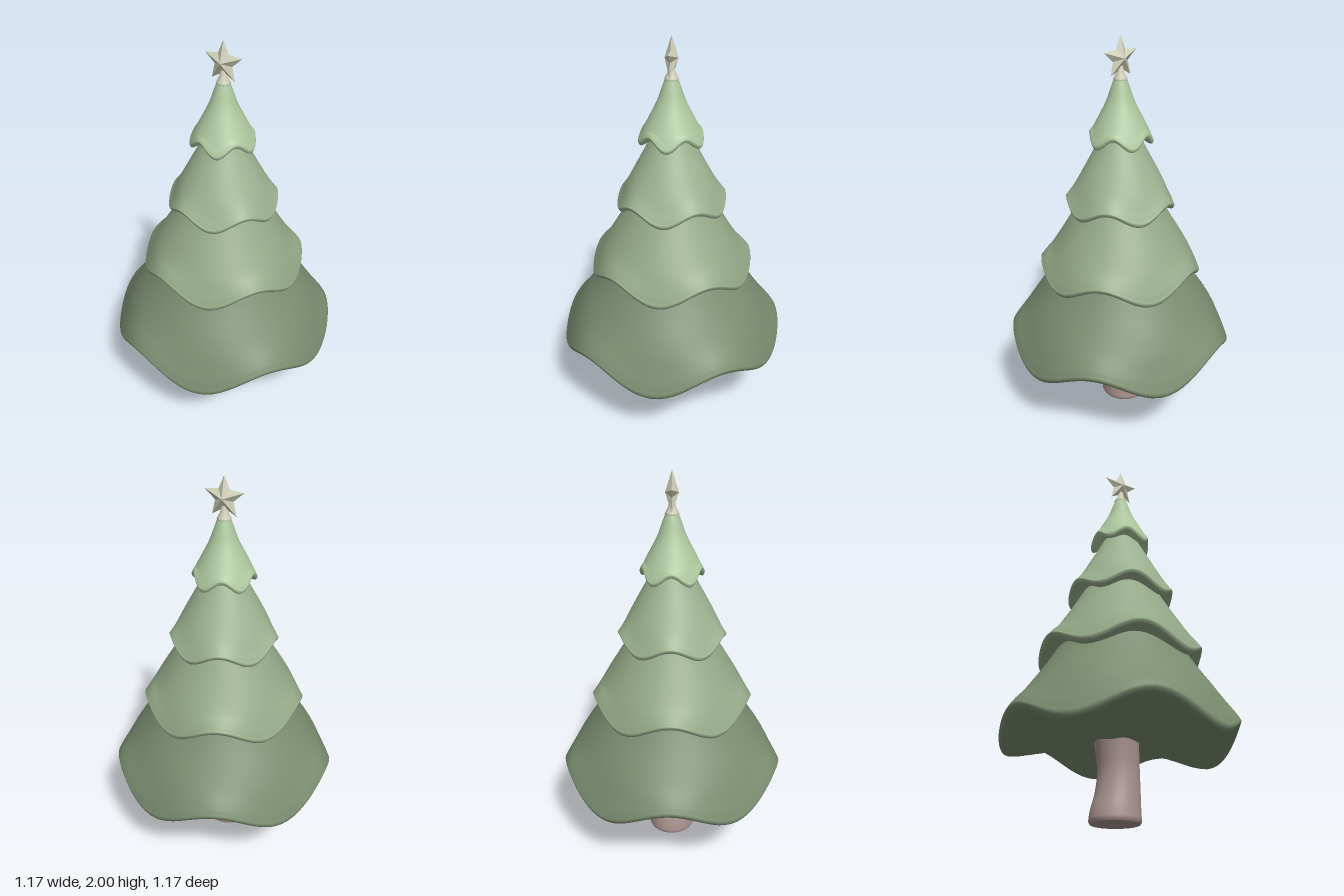
import * as THREE from 'three';
import { mergeVertices } from 'three/addons/utils/BufferGeometryUtils.js';

const mat = (color, extra = {}) => new THREE.MeshStandardMaterial({ color, ...extra });

function add(group, name, geometry, material) {
  const mesh = new THREE.Mesh(geometry, material);
  mesh.name = name;
  group.add(mesh);
  return mesh;
}

// Weld the lathe seam so that the shading is smooth all the way round
function smooth(geometry) {
  geometry.deleteAttribute('uv');
  geometry.deleteAttribute('normal');
  const welded = mergeVertices(geometry, 1e-5);
  welded.computeVertexNormals();
  return welded;
}

// One bough tier: profile [radius, height, wave weight] from top over the hem to the underside.
// The hem rises and falls in five waves; bulge pushes the low lobes outward.
function tierGeometry(profile, wave, bulge = 0) {
  const curve = new THREE.CatmullRomCurve3(
    profile.map(([r, y, w = 0]) => new THREE.Vector3(r, y, w)).reverse());
  const samples = curve.getPoints((profile.length - 1) * 4);
  const geometry = new THREE.LatheGeometry(samples.map(p => new THREE.Vector2(p.x, p.y)), 100);
  const pos = geometry.attributes.position;
  for (let i = 0; i < pos.count; i++) {
    const s = samples[i % samples.length];
    const lobe = s.z * Math.cos(5 * Math.atan2(pos.getZ(i), pos.getX(i)));
    const scale = 1 + bulge * lobe / s.x;
    pos.setXYZ(i, pos.getX(i) * scale, pos.getY(i) - wave * lobe, pos.getZ(i) * scale);
  }
  return smooth(geometry);
}

// Trunk side that leans and swells: rings of [height, radius, x offset]
function trunkGeometry() {
  const rings = [[0.012, 0.125, -0.03], [0.06, 0.12, -0.028], [0.14, 0.109, -0.017],
    [0.24, 0.102, -0.012], [0.33, 0.105, -0.018], [0.41, 0.112, -0.026]];
  const samples = new THREE.CatmullRomCurve3(rings.map(([y, r, x]) => new THREE.Vector3(r, y, x))).getPoints(20);
  samples.unshift(new THREE.Vector3(0.118, 0, -0.03));
  const geometry = new THREE.LatheGeometry(samples.map(p => new THREE.Vector2(p.x, p.y)), 40);
  const pos = geometry.attributes.position;
  for (let i = 0; i < pos.count; i++) pos.setX(i, pos.getX(i) + samples[i % samples.length].z);
  return smooth(geometry);
}

// Faceted five-pointed star with a raised centre on both faces
function starGeometry(outer, inner, depth) {
  const rim = i => {
    const a = Math.PI / 2 + i * Math.PI / 5;
    const r = i % 2 ? inner : outer;
    return [r * Math.cos(a), r * Math.sin(a), 0];
  };
  const v = [];
  for (let i = 0; i < 10; i++) {
    v.push(...rim(i), ...rim(i + 1), 0, 0, depth);
    v.push(...rim(i + 1), ...rim(i), 0, 0, -depth);
  }
  const geometry = new THREE.BufferGeometry();
  geometry.setAttribute('position', new THREE.Float32BufferAttribute(v, 3));
  geometry.computeVertexNormals();
  return geometry;
}

export function createModel() {
  const tree = new THREE.Group();
  tree.name = 'tree';

  // Trunk
  const bark = mat(0xa8928f);
  add(tree, 'trunk', trunkGeometry(), bark);
  const base = add(tree, 'trunkBase', new THREE.CircleGeometry(0.118, 40), bark);
  base.rotation.x = Math.PI / 2;
  base.position.x = -0.03;

  // Bough tiers, lowest first
  const tiers = [
    { name: 'bottomBoughs', color: 0x7b8d70, wave: 0.055, profile: [
      [0.25, 1.0], [0.37, 0.78], [0.47, 0.63], [0.55, 0.5, 0.6], [0.578, 0.445, 0.9], [0.584, 0.418, 1],
      [0.572, 0.4, 1], [0.53, 0.392, 0.95], [0.45, 0.39, 0.8], [0.3, 0.385, 0.4], [0.08, 0.38]] },
    { name: 'lowerMiddleBoughs', color: 0x94a887, wave: 0.042, profile: [
      [0.17, 1.25], [0.235, 1.13], [0.325, 0.98], [0.388, 0.88, 0.6], [0.41, 0.84, 0.9], [0.415, 0.822, 1],
      [0.406, 0.808, 1], [0.375, 0.805, 0.95], [0.3, 0.815, 0.5], [0.1, 0.83]] },
    { name: 'upperMiddleBoughs', color: 0x9db391, wave: 0.03, profile: [
      [0.07, 1.57], [0.115, 1.48], [0.195, 1.33], [0.25, 1.225, 0.6], [0.27, 1.19, 0.9], [0.275, 1.174, 1],
      [0.268, 1.162, 1], [0.245, 1.16, 0.95], [0.18, 1.175, 0.4], [0.05, 1.19]] },
    { name: 'topBoughs', color: 0xadc89f, wave: 0.025, bulge: 0.006, profile: [
      [0.03, 1.8], [0.045, 1.76], [0.07, 1.69], [0.118, 1.595], [0.145, 1.545, 0.6], [0.155, 1.525, 0.9],
      [0.157, 1.511, 1], [0.152, 1.501, 1], [0.138, 1.5, 0.95], [0.1, 1.51, 0.4], [0.03, 1.52]] },
  ];
  for (const t of tiers) {
    add(tree, t.name, tierGeometry(t.profile, t.wave, t.bulge), mat(t.color, { side: THREE.DoubleSide }));
  }

  // Star and its flared socket
  const cream = 0xcfd0b8;
  const socket = [[0.001, 1.785], [0.03, 1.788], [0.035, 1.795], [0.032, 1.803], [0.02, 1.825], [0.012, 1.86]];
  add(tree, 'starSocket', smooth(new THREE.LatheGeometry(
    socket.map(([r, y]) => new THREE.Vector2(r, y)), 24)), mat(cream));
  const star = add(tree, 'star', starGeometry(0.104, 0.048, 0.033), mat(cream, { flatShading: true }));
  star.position.y = 1.896;

  return tree;
}
